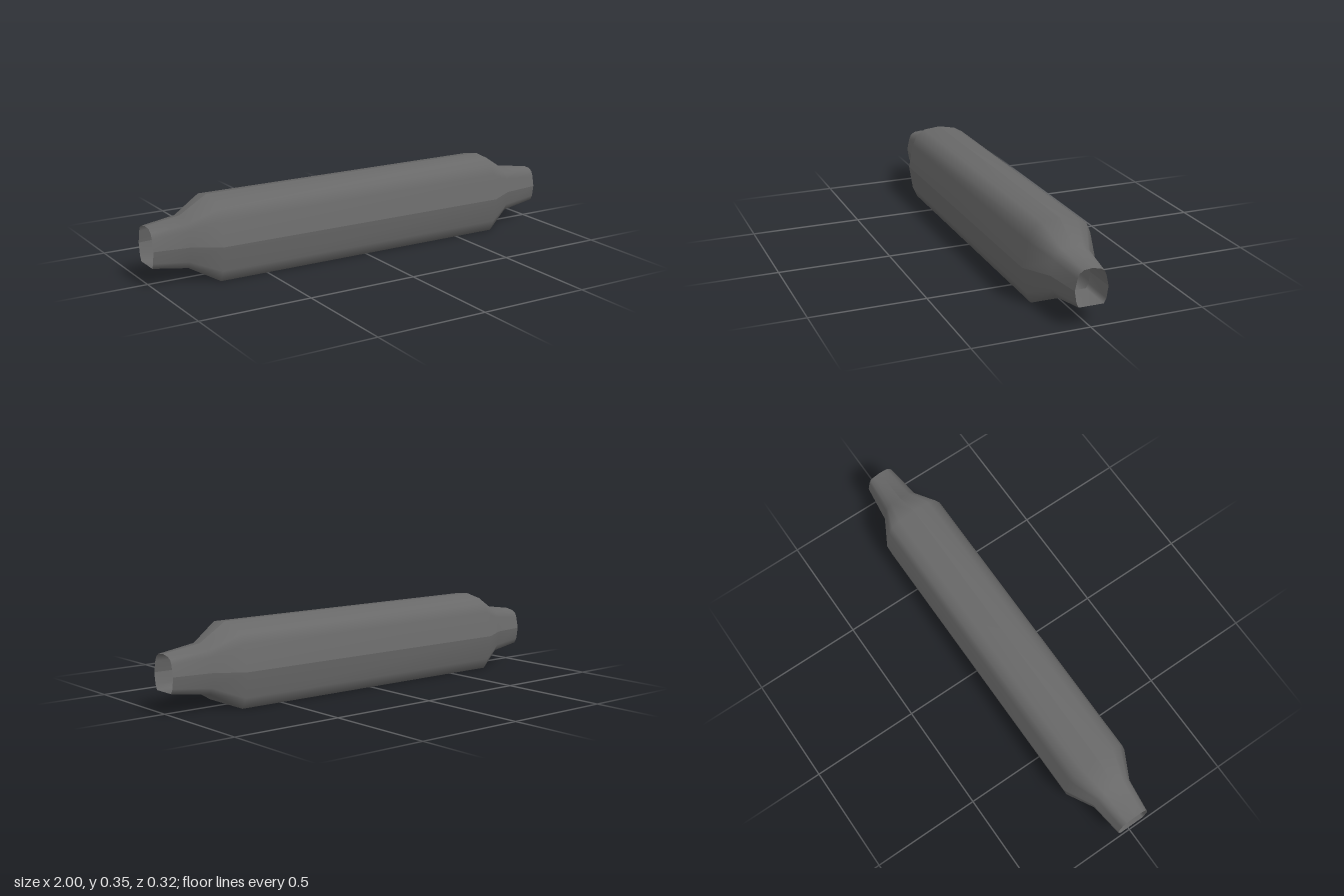
import * as THREE from 'three';

// Cross-section of the casing as [z, y], from the front bottom corner over the top to the back
const PROFILE = [
  [0.123, 0], [0.146, 0.05], [0.163, 0.16], [0.14, 0.27], [0.12, 0.315], [0.08, 0.344],
  [0, 0.352],
  [-0.08, 0.336], [-0.12, 0.313], [-0.138, 0.27], [-0.162, 0.16], [-0.145, 0.048], [-0.12, 0],
];
const AXIS_Y = 0.165;

// Panels of the cross-section, meeting in creases at the widest ridges and along the top
const PANELS = {
  FrontTop: PROFILE.slice(2, 7),
  BackTop: PROFILE.slice(6, 11),
  Bottom: [...PROFILE.slice(10), ...PROFILE.slice(0, 3)],
};

// Stations along the length as [x, scale of the cross-section about the axis]
const CASING = [
  [-1, 0.48], [-0.845, 0.6], [-0.72, 1], [0.7, 1], [0.825, 0.58], [1, 0.445],
];
const THROAT = [[0.85, 0.418], [1, 0.445]];

// Skin one panel along the stations, smooth within the panel
function loft(profile, stations) {
  const n = profile.length;
  const positions = [];
  const index = [];
  for (const [x, s] of stations) {
    for (const [z, y] of profile) positions.push(x, AXIS_Y + (y - AXIS_Y) * s, z * s);
  }
  for (let i = 0; i < stations.length - 1; i++) {
    for (let j = 0; j < n - 1; j++) {
      const a = i * n + j, b = a + n;
      index.push(a, b, b + 1, a, b + 1, a + 1);
    }
  }
  const geometry = new THREE.BufferGeometry();
  geometry.setAttribute('position', new THREE.Float32BufferAttribute(positions, 3));
  geometry.setIndex(index);
  geometry.computeVertexNormals();
  return geometry;
}

export function createModel() {
  const group = new THREE.Group();
  group.name = 'taperedTube';
  const material = new THREE.MeshStandardMaterial({ color: 0x696969, side: THREE.DoubleSide });

  // Thin-walled casing with necked, open ends, and a short inner throat in one neck
  for (const [part, stations] of Object.entries({ casing: CASING, throat: THROAT })) {
    for (const [panel, profile] of Object.entries(PANELS)) {
      const mesh = new THREE.Mesh(loft(profile, stations), material);
      mesh.name = part + panel;
      group.add(mesh);
    }
  }
  return group;
}
